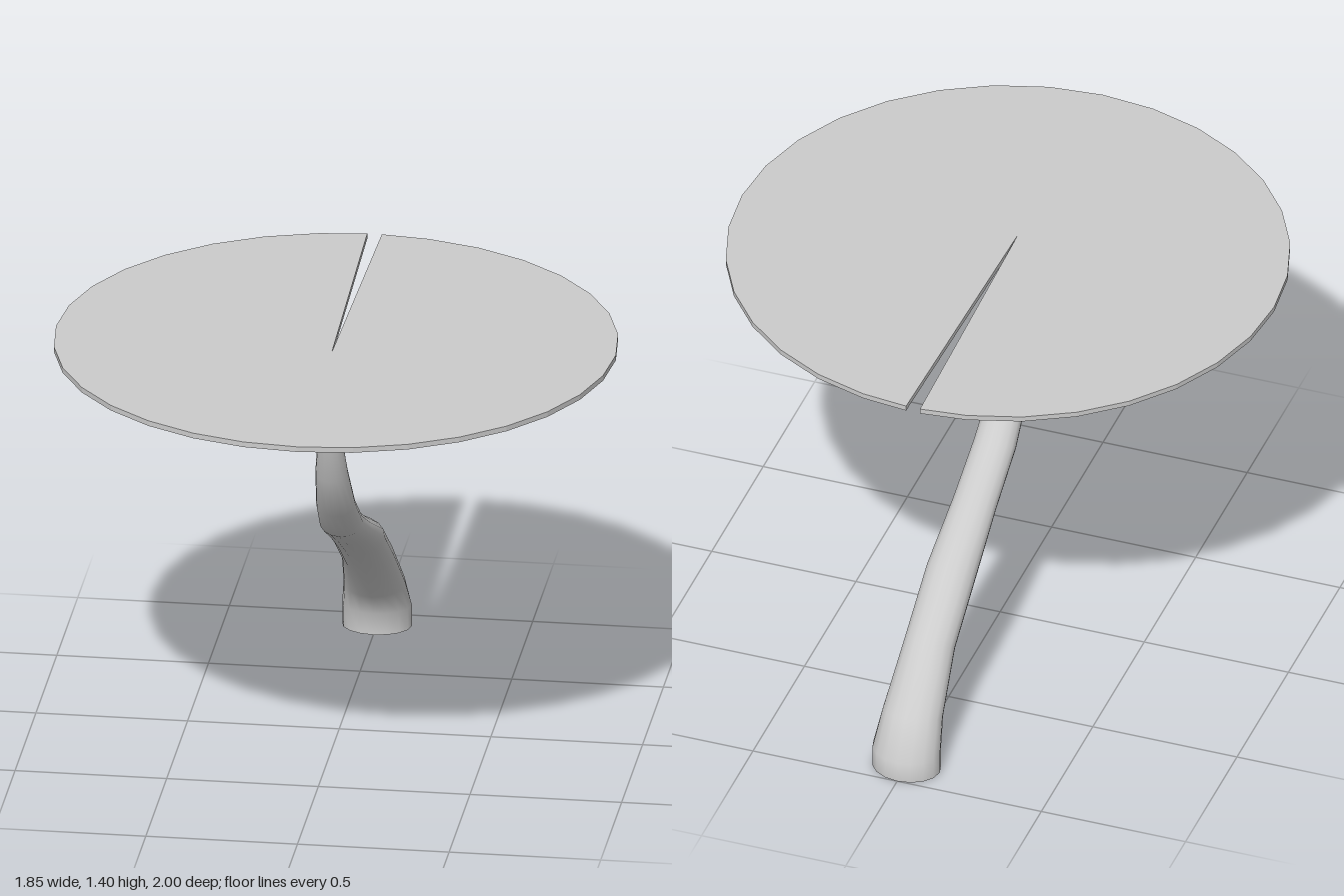
import * as THREE from 'three';

const material = new THREE.MeshStandardMaterial({ color: 0xcccccc });

// Stem sections: inner edge (z, y), outer edge (z, y), half width in x
const SECTIONS = [
  [-0.815, 0, -1, 0, 0.115],
  [-0.815, 0.075, -1, 0.072, 0.115],
  [-0.767, 0.152, -0.927, 0.2, 0.102],
  [-0.625, 0.3, -0.74, 0.383, 0.086],
  [-0.41, 0.448, -0.523, 0.538, 0.085],
  [-0.208, 0.565, -0.29, 0.648, 0.075],
  [0, 0.678, -0.1, 0.748, 0.072],
  [0.125, 0.8, 0.033, 0.852, 0.065],
  [0.22, 0.96, 0.138, 0.998, 0.054],
  [0.265, 1.157, 0.21, 1.173, 0.036],
  [0.295, 1.388, 0.248, 1.388, 0.027],
];
const SIDES = 16;

// Elliptical rings joined into a smooth curved tube
function stemGeometry() {
  const positions = [], index = [];
  SECTIONS.forEach(([z0, y0, z1, y1, hx], i) => {
    for (let j = 0; j < SIDES; j++) {
      const a = (j / SIDES) * Math.PI * 2;
      const s = (1 + Math.sin(a)) / 2;
      positions.push(hx * Math.cos(a), y0 + (y1 - y0) * s, z0 + (z1 - z0) * s);
      if (i === SECTIONS.length - 1) continue;
      const p = i * SIDES + j, q = i * SIDES + ((j + 1) % SIDES);
      index.push(p, q, p + SIDES, q, q + SIDES, p + SIDES);
    }
  });
  const geometry = new THREE.BufferGeometry();
  geometry.setAttribute('position', new THREE.Float32BufferAttribute(positions, 3));
  geometry.setIndex(index);
  geometry.computeVertexNormals();
  return geometry;
}

// Thin 32-sided disc with a narrow wedge cut from the back rim past the middle
function padGeometry() {
  const radius = 0.923, centreZ = 0.077, sides = 32;
  const points = [new THREE.Vector2(0, -0.18), new THREE.Vector2(-0.024, radius - centreZ)];
  for (let i = 1; i < sides; i++) {
    const a = (i / sides) * Math.PI * 2;
    points.push(new THREE.Vector2(-radius * Math.sin(a), radius * Math.cos(a) - centreZ));
  }
  points.push(new THREE.Vector2(0.024, radius - centreZ));
  const geometry = new THREE.ExtrudeGeometry(new THREE.Shape(points), { depth: 0.018, bevelEnabled: false });
  return geometry.rotateX(-Math.PI / 2).translate(0, 1.385, 0);
}

export function createModel() {
  const group = new THREE.Group();
  const add = (name, geometry) => {
    const mesh = new THREE.Mesh(geometry, material);
    mesh.name = name;
    group.add(mesh);
    return mesh;
  };

  add('leafPad', padGeometry());
  add('stem', stemGeometry());

  // Flat underside closing the foot of the stem
  const base = new THREE.CircleGeometry(1, SIDES).scale(0.115, 0.0925, 1).rotateX(Math.PI / 2);
  add('stemBase', base).position.z = -0.9075;

  return group;
}
